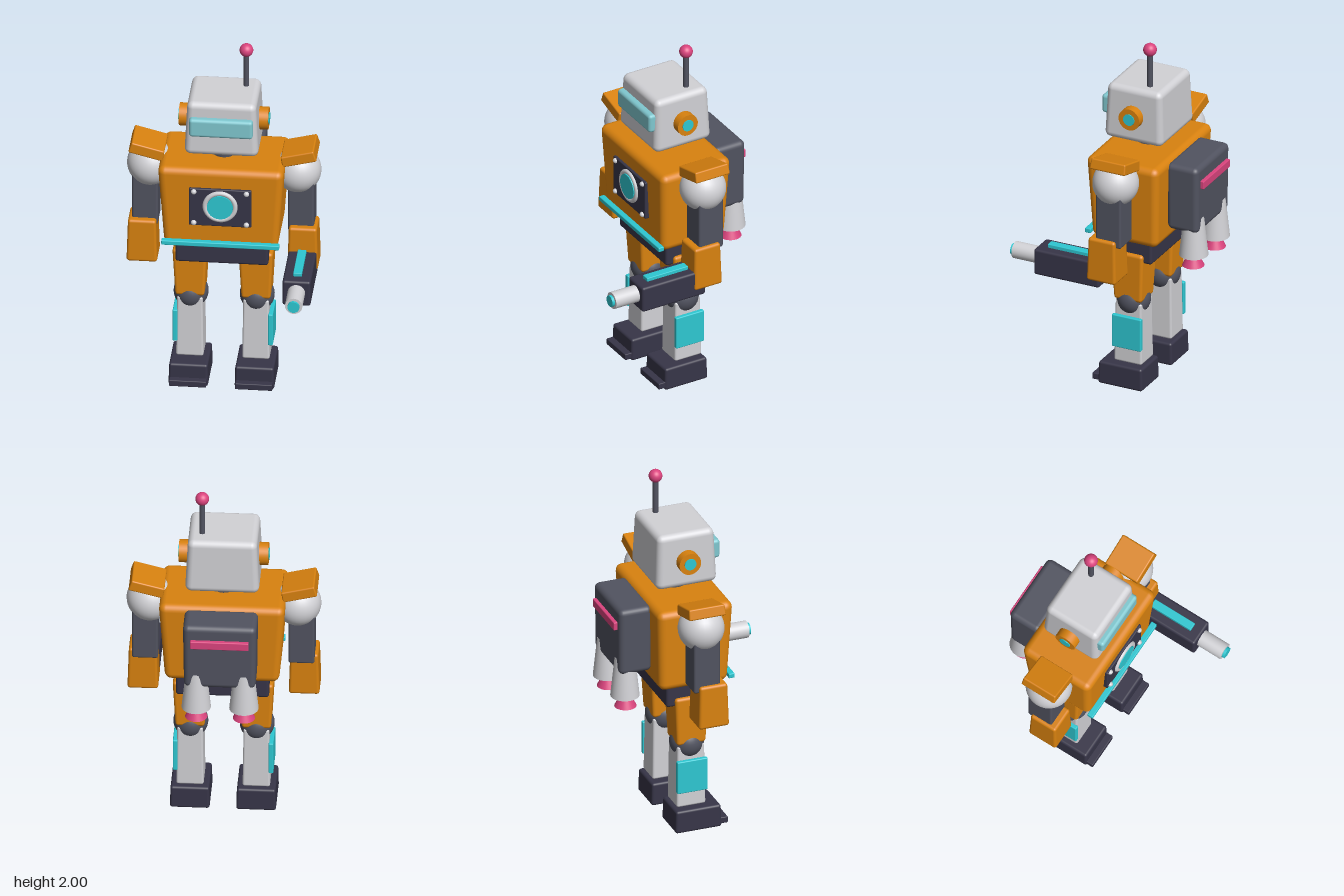
import * as THREE from 'three';
import { RoundedBoxGeometry } from 'three/addons/geometries/RoundedBoxGeometry.js';

const mat = (name, color) => {
  const m = new THREE.MeshStandardMaterial({ color });
  m.name = name;
  return m;
};

export function createModel() {
  const orange = mat('orange paint', 0xd9820f);
  const light = mat('light metal', 0xd2d2d6);
  const steel = mat('dark steel', 0x515360);
  const navy = mat('dark navy', 0x373548);
  const cyan = mat('cyan glow', 0x2ec8d2);
  const visorBlue = mat('visor glass', 0x80c8d0);
  const pink = mat('pink accent', 0xdb447e);

  const robot = new THREE.Group();
  robot.name = 'robot';
  const Z = -0.095; // body centre line

  function add(parent, name, geo, material, x, y, z) {
    const mesh = new THREE.Mesh(geo, material);
    mesh.name = name;
    mesh.position.set(x, y, z);
    parent.add(mesh);
    return mesh;
  }

  // Rounded box whose width and depth scale from `bottom` to `top` along its height
  function block(w, h, d, r, bottom = 1, top = 1) {
    const geo = new RoundedBoxGeometry(w, h, d, 3, r);
    const p = geo.attributes.position;
    for (let i = 0; i < p.count; i++) {
      const k = THREE.MathUtils.lerp(bottom, top, p.getY(i) / h + 0.5);
      p.setX(i, p.getX(i) * k);
      p.setZ(i, p.getZ(i) * k);
    }
    return geo;
  }
  const rod = (rTop, rBottom, h) => new THREE.CylinderGeometry(rTop, rBottom, h, 32);
  const rodX = (r, h) => rod(r, r, h).rotateZ(Math.PI / 2);
  const rodZ = (r, h) => rod(r, r, h).rotateX(Math.PI / 2);
  const ball = (r) => new THREE.SphereGeometry(r, 32, 20);

  function group(name) {
    const g = new THREE.Group();
    g.name = name;
    robot.add(g);
    return g;
  }

  // Head
  const head = group('head');
  add(head, 'skull', block(0.4, 0.315, 0.35, 0.035, 1, 0.925), light, 0, 1.588, Z);
  add(head, 'visor', block(0.344, 0.108, 0.06, 0.018), visorBlue, 0, 1.61, 0.074);
  add(head, 'neck', rod(0.062, 0.062, 0.14), steel, 0, 1.39, Z);
  for (const s of [-1, 1]) {
    add(head, 'ear', rodX(0.062, 0.06), orange, s * 0.21, 1.585, Z);
    add(head, 'earLight', rodX(0.033, 0.06), cyan, s * 0.215, 1.585, Z);
  }
  add(head, 'antennaRod', rod(0.015, 0.015, 0.26), steel, 0.113, 1.84, -0.158);
  add(head, 'antennaBall', ball(0.037), pink, 0.113, 1.963, -0.158);

  // Torso
  const torso = group('torso');
  add(torso, 'chest', block(0.68, 0.485, 0.433, 0.04, 0.9, 1), orange, 0, 1.122, -0.097);
  add(torso, 'waistStripe', block(0.634, 0.027, 0.034, 0.005), cyan, 0, 0.912, 0.114);
  add(torso, 'pelvis', block(0.5, 0.14, 0.28, 0.015), navy, 0, 0.82, Z);

  // Chest panel with its round lamp and bolts
  add(torso, 'chestPanel', block(0.336, 0.226, 0.04, 0.006), navy, 0, 1.142, 0.109);
  add(torso, 'lampRing', new THREE.TorusGeometry(0.081, 0.014, 12, 40), light, 0, 1.152, 0.128);
  add(torso, 'lamp', rodZ(0.07, 0.03), cyan, 0, 1.152, 0.129);
  for (const x of [-0.142, 0.142])
    for (const y of [1.047, 1.237]) add(torso, 'panelBolt', ball(0.015), light, x, y, 0.13);

  // Backpack and thrusters
  const pack = group('backpack');
  add(pack, 'packBody', block(0.396, 0.39, 0.19, 0.03, 0.97, 1), steel, 0, 1.153, -0.388);
  add(pack, 'packStripe', block(0.314, 0.047, 0.03, 0.005), pink, 0, 1.245, -0.488);
  for (const s of [-1, 1]) {
    add(pack, 'thruster', rod(0.055, 0.079, 0.23), light, s * 0.128, 0.925, -0.428);
    add(pack, 'thrusterNozzle', rod(0.03, 0.06, 0.065), pink, s * 0.128, 0.778, -0.425);
  }

  for (const s of [-1, 1]) {
    const side = s > 0 ? 'left' : 'right';

    // Arm
    const arm = group(side + 'Arm');
    add(arm, 'shoulder', ball(0.126), light, s * 0.397, 1.28, Z);
    const pad = add(arm, 'shoulderPad', block(0.19, 0.06, 0.212, 0.008, 1, 0.96), orange, s * 0.408, 1.394, -0.097);
    pad.rotation.z = s * 0.25;
    add(arm, 'upperArm', block(0.14, 0.33, 0.15, 0.012), steel, s * 0.42, 1.1, Z);
    add(arm, 'forearm', block(0.166, 0.25, 0.174, 0.016, 1, 0.91), orange, s * 0.433, 0.85, -0.063);

    // Leg
    const leg = group(side + 'Leg');
    const x = s * 0.178;
    add(leg, 'thigh', block(0.186, 0.29, 0.195, 0.018, 0.84, 1), orange, x, 0.655, -0.093);
    add(leg, 'knee', ball(0.094), steel, x, 0.5, -0.093);
    add(leg, 'shin', block(0.148, 0.36, 0.166, 0.012, 1, 0.93), light, x, 0.32, -0.093);
    add(leg, 'shinPlate', block(0.026, 0.19, 0.174, 0.006), cyan, s * 0.257, 0.325, -0.093);
    add(leg, 'foot', block(0.214, 0.13, 0.265, 0.014, 1, 0.97), navy, x, 0.065, -0.062);
    add(leg, 'toe', block(0.2, 0.036, 0.06, 0.005), navy, x, 0.032, 0.077);
  }

  // Arm cannon on the left forearm
  const cannon = group('armCannon');
  add(cannon, 'cannonBody', block(0.152, 0.15, 0.392, 0.014), navy, 0.432, 0.76, 0.147);
  add(cannon, 'cannonStripe', block(0.046, 0.03, 0.255, 0.004), cyan, 0.432, 0.84, 0.157);
  add(cannon, 'barrel', rodZ(0.047, 0.17), light, 0.432, 0.768, 0.405);
  add(cannon, 'muzzle', rodZ(0.032, 0.06), cyan, 0.432, 0.768, 0.475);

  return robot;
}
